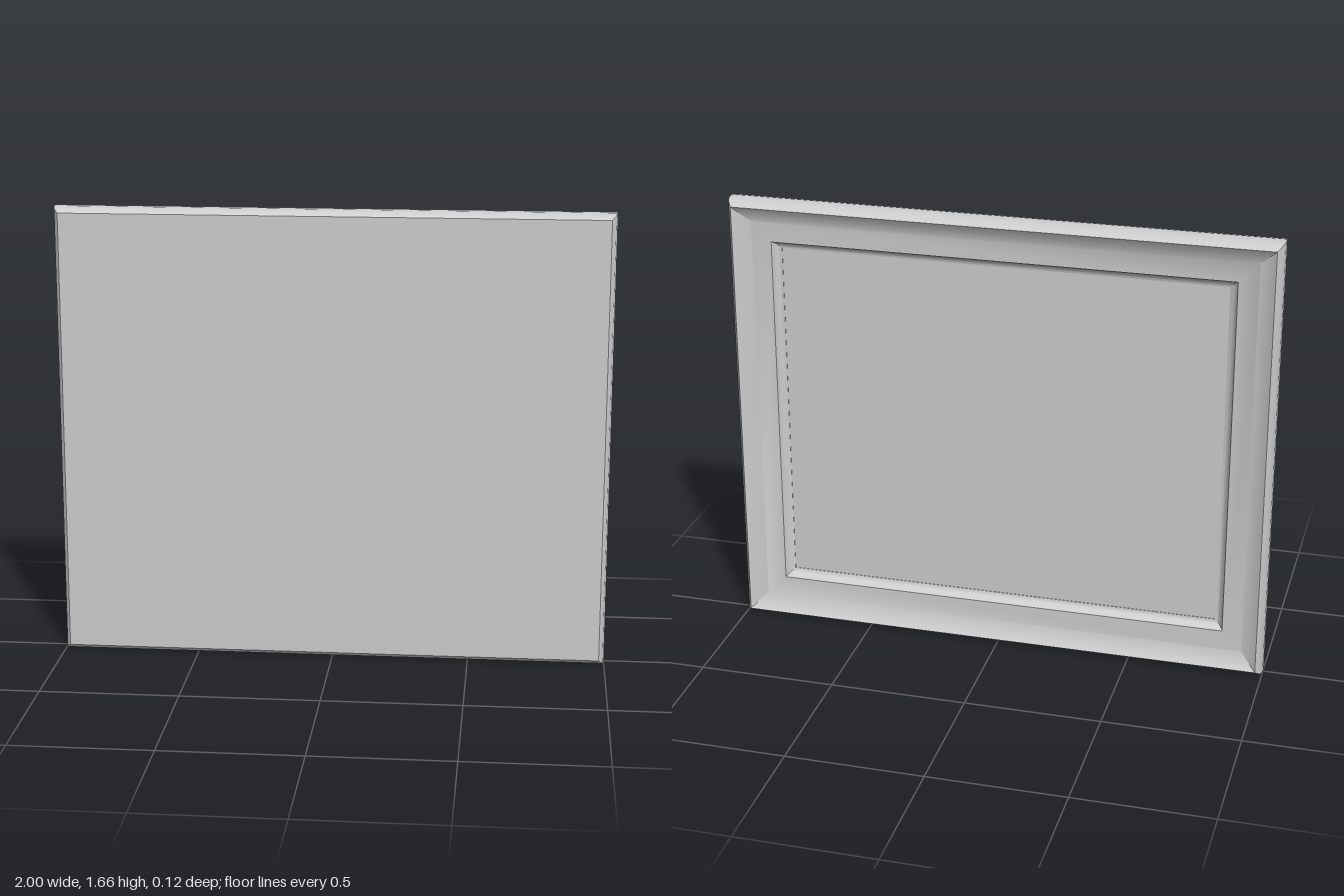
import * as THREE from 'three';
import { toCreasedNormals } from 'three/addons/utils/BufferGeometryUtils.js';

const HALF_W = 1, HEIGHT = 1.66, OPENING = 0.185;

// Moulding section as [inset from outer edge, z], from front edge round to the opening
const PROFILE = [
  [0.02, 0.06], [0.006, 0.046], [0, 0.02], [0, -0.01], [0.006, -0.036], [0.022, -0.06], // rounded outer side
  [0.082, -0.02], [0.155, -0.018],                                                      // back slope and flat band
  [0.159, -0.008], [0.167, 0.002], [0.176, 0.008], [OPENING, 0.011],                    // cove
  [OPENING, 0.06],                                                                      // opening wall
];

// Sweep the section round the rectangle with mitred corners
function mouldingGeometry() {
  const corners = [[1, -1], [1, 1], [-1, 1], [-1, -1]];
  const point = (k, j) => {
    const [sx, sy] = corners[k % 4];
    const [inset, z] = PROFILE[j % PROFILE.length];
    return [sx * (HALF_W - inset), HEIGHT / 2 + sy * (HEIGHT / 2 - inset), z];
  };
  const positions = [];
  for (let k = 0; k < 4; k++) {
    for (let j = 0; j < PROFILE.length; j++) {
      const a = point(k, j), b = point(k, j + 1), c = point(k + 1, j + 1), d = point(k + 1, j);
      positions.push(...a, ...b, ...c, ...a, ...c, ...d);
    }
  }
  const geometry = new THREE.BufferGeometry();
  geometry.setAttribute('position', new THREE.Float32BufferAttribute(positions, 3));
  return toCreasedNormals(geometry, 0.6);
}

export function createModel() {
  const grey = new THREE.MeshStandardMaterial({ color: 0xcccccc });
  grey.name = 'light grey';
  const group = new THREE.Group();
  group.name = 'pictureFrame';

  const frame = new THREE.Mesh(mouldingGeometry(), grey);
  frame.name = 'frameMoulding';

  // Panel filling the opening, flush with the front and recessed at the back
  const panel = new THREE.Mesh(
    new THREE.BoxGeometry(2 * (HALF_W - OPENING), HEIGHT - 2 * OPENING, 0.047), grey);
  panel.name = 'panel';
  panel.position.set(0, HEIGHT / 2, 0.0365);

  group.add(frame, panel);
  return group;
}
